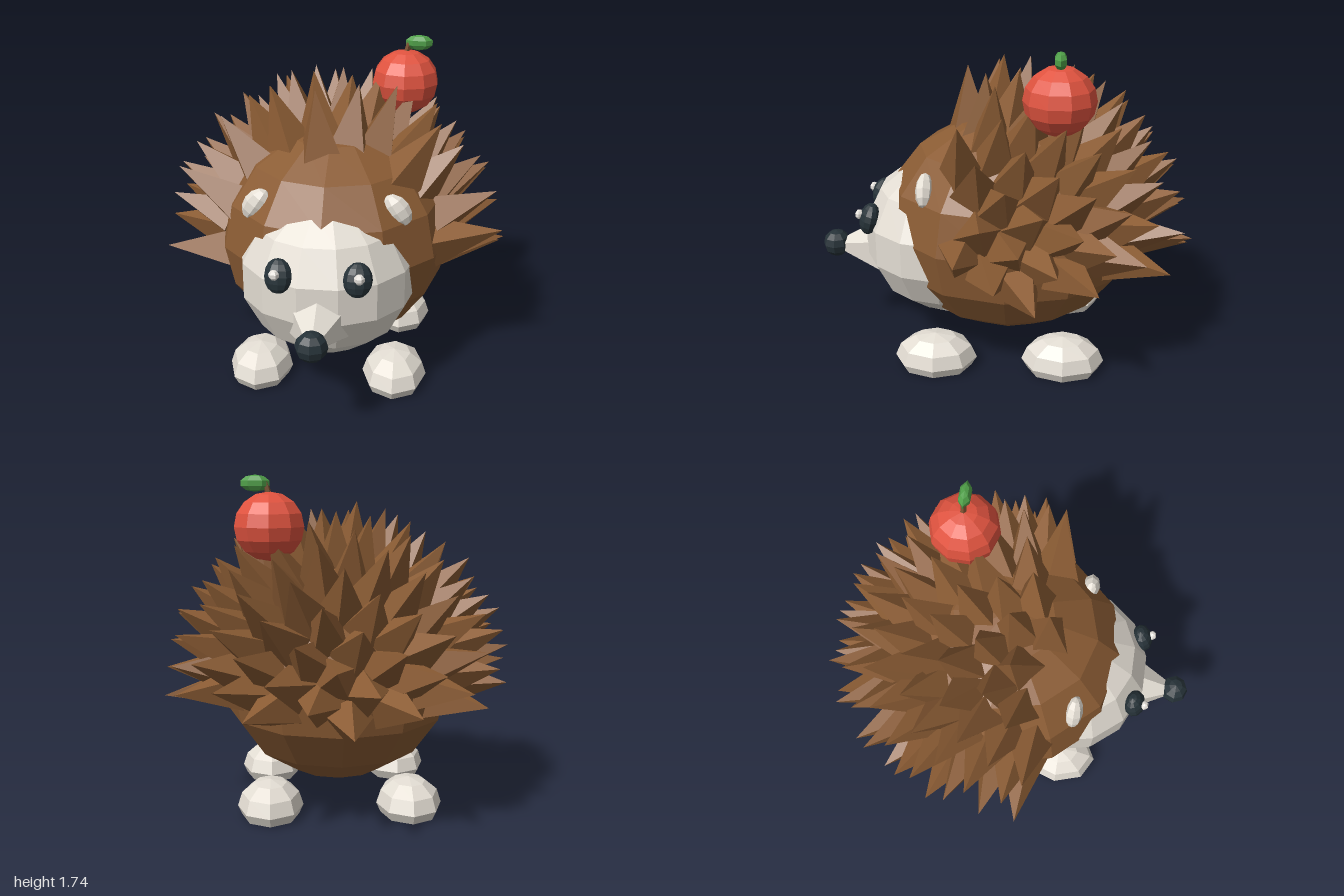
import * as THREE from 'three';

const mat = (name, color) => {
  const m = new THREE.MeshStandardMaterial({ color });
  m.name = name;
  return m;
};

// Faceted normals for a low-poly look
function facet(geometry) {
  const g = geometry.index ? geometry.toNonIndexed() : geometry;
  g.computeVertexNormals();
  return g;
}

export function createModel() {
  const brown = mat('brown fur', 0x8b5c34);
  const cream = mat('cream', 0xe3ddd3);
  const dark = mat('dark', 0x263238);
  const white = mat('eye glint', 0xf0ece6);
  const red = mat('apple red', 0xe0533f);
  const green = mat('leaf green', 0x4f9f48);
  const bark = mat('stem brown', 0x7a5030);

  const model = new THREE.Group();
  model.name = 'hedgehog';

  function add(name, geometry, material, parent = model) {
    const mesh = new THREE.Mesh(facet(geometry), material);
    mesh.name = name;
    parent.add(mesh);
    return mesh;
  }

  function ball(name, material, [x, y, z], [rx, ry, rz], w, h, parent) {
    const g = new THREE.SphereGeometry(1, w, h).scale(rx, ry, rz);
    const mesh = add(name, g, material, parent);
    mesh.position.set(x, y, z);
    return mesh;
  }

  // Body and pale face mask
  const centre = new THREE.Vector3(0, 0.72, -0.05);
  const radii = new THREE.Vector3(0.63, 0.59, 0.685);
  ball('body', brown, centre.toArray(), radii.toArray(), 12, 8);
  ball('face', cream, [0, 0.635, 0.305], [0.465, 0.435, 0.445], 14, 7);

  // Six-sided snout with round nose
  const snout = new THREE.ConeGeometry(0.185, 0.33, 6, 1).rotateX(Math.PI / 2);
  add('snout', snout, cream).position.set(0, 0.53, 0.795);
  ball('nose', dark, [0, 0.54, 0.925], [0.08, 0.075, 0.075], 8, 6);

  // Paired eyes, ears and paws
  for (const [side, s] of [['left', 1], ['right', -1]]) {
    const eye = ball(side + 'Eye', dark, [s * 0.192, 0.775, 0.69], [0.072, 0.087, 0.054], 10, 8);
    eye.rotation.set(-0.25, s * 0.25, 0);
    ball(side + 'EyeGlint', white, [s * 0.203, 0.803, 0.74], [0.027, 0.027, 0.024], 6, 5);

    const ear = ball(side + 'Ear', cream, [s * 0.355, 1.005, 0.365], [0.066, 0.093, 0.048], 8, 6);
    ear.rotation.z = s * 0.6;

    for (const [end, z] of [['Front', 0.33], ['Back', -0.35]]) {
      // Flattened underside: everything below ground is pressed up to it
      const g = new THREE.SphereGeometry(1, 8, 6).scale(0.17, 0.14, 0.22).translate(0, 0.05, 0);
      const p = g.attributes.position;
      for (let i = 0; i < p.count; i++) p.setY(i, Math.max(0, p.getY(i)));
      add(side + end + 'Paw', g, cream).position.set(s * 0.36, 0, z);
    }
  }

  // Quills spread evenly over the back and sides
  const quills = new THREE.Group();
  quills.name = 'quills';
  model.add(quills);
  let seed = 7;
  const rand = () => (seed = (seed * 16807) % 2147483647) / 2147483647;
  const up = new THREE.Vector3(0, 1, 0);
  const quill = facet(new THREE.ConeGeometry(0.135, 0.37, 4, 1).translate(0, 0.135, 0));
  const count = 210;
  for (let i = 0; i < count; i++) {
    const y = 1 - (2 * (i + 0.5)) / count;
    const a = i * 2.399963;
    const r = Math.sqrt(1 - y * y);
    const d = new THREE.Vector3(r * Math.cos(a), y, r * Math.sin(a));
    const jitter = rand();
    if (d.z > 0.34 || d.y < -0.2) continue;
    const mesh = new THREE.Mesh(quill, brown);
    mesh.name = 'quill';
    mesh.position.copy(d).multiply(radii).multiplyScalar(0.97).add(centre);
    // Lean back towards the tail and slightly upward
    const lean = d.clone().divide(radii).normalize();
    lean.z -= 0.2 * (1 + d.z);
    lean.y += 0.15;
    mesh.quaternion.setFromUnitVectors(up, lean.normalize());
    mesh.rotateY(jitter * Math.PI);
    mesh.scale.y = 0.88 + 0.14 * jitter;
    quills.add(mesh);
  }

  // Apple resting on the quills
  const apple = new THREE.Group();
  apple.name = 'apple';
  apple.position.set(0.35, 1.485, -0.305);
  model.add(apple);
  const fruit = ball('appleFruit', red, [0, 0, 0], [0.182, 0.172, 0.182], 10, 8, apple);
  fruit.rotation.y = Math.PI / 2;
  const stem = add('appleStem', new THREE.CylinderGeometry(0.014, 0.017, 0.09, 5), bark, apple);
  stem.position.set(0.008, 0.18, 0);
  stem.rotation.z = -0.25;
  ball('appleLeaf', green, [0.068, 0.212, 0], [0.075, 0.042, 0.034], 6, 5, apple);

  return model;
}
